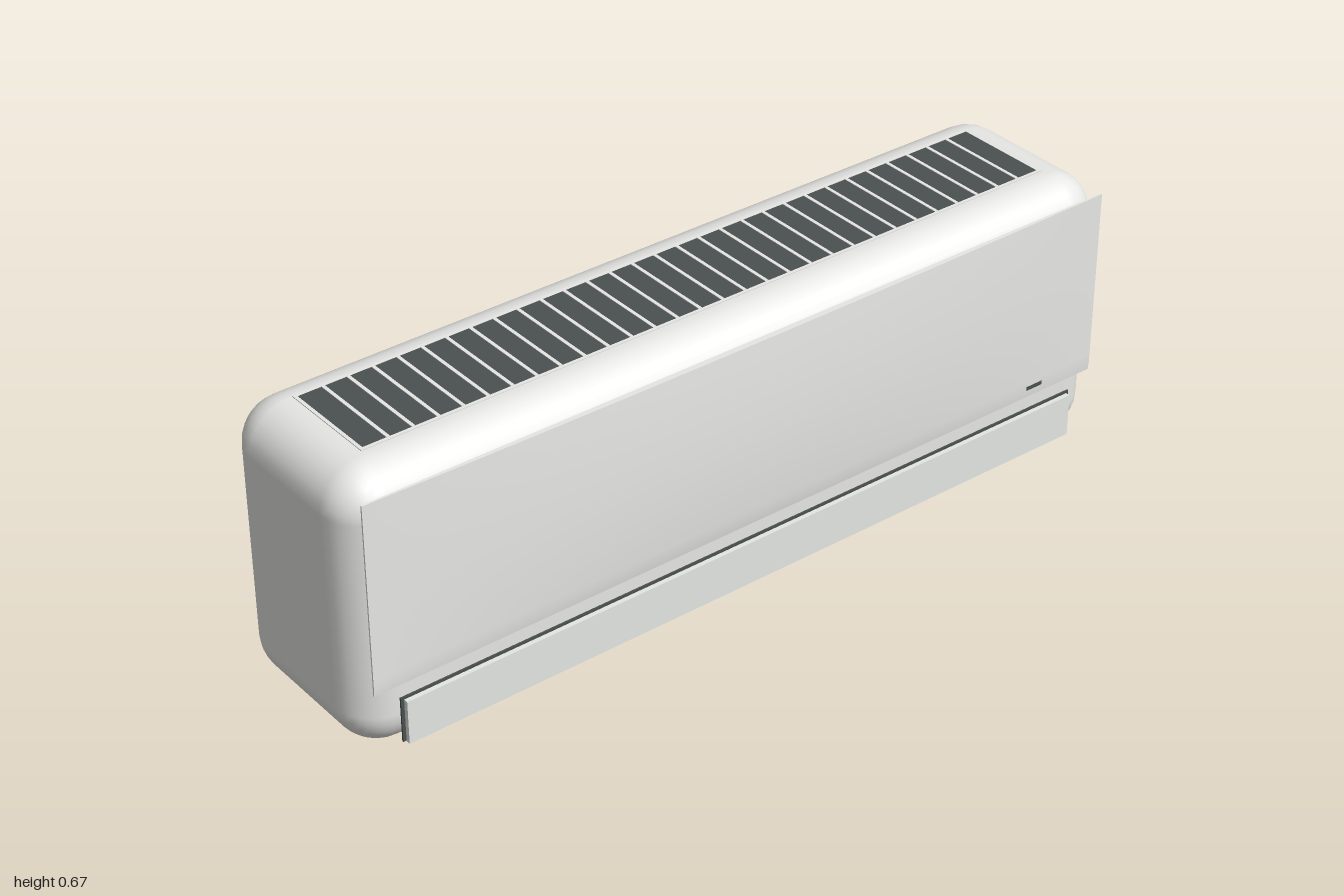
import * as THREE from 'three';
import { RoundedBoxGeometry } from 'three/addons/geometries/RoundedBoxGeometry.js';

const shell = new THREE.MeshStandardMaterial({ color: 0xe8e8e6 });
shell.name = 'shell white';
const trim = new THREE.MeshStandardMaterial({ color: 0xe4e8e3 });
trim.name = 'flap white';
const dark = new THREE.MeshStandardMaterial({ color: 0x4a5150 });
dark.name = 'dark grey';

function add(parent, name, geometry, material, x, y, z) {
  const mesh = new THREE.Mesh(geometry, material);
  mesh.name = name;
  mesh.position.set(x, y, z);
  parent.add(mesh);
  return mesh;
}

const box = (w, h, d) => new THREE.BoxGeometry(w, h, d);

// Front surface of the panel: gently domed, fullest above the middle
const PANEL = { halfWidth: 0.97, bottom: 0.175, top: 0.63, back: 0.218 };
function panelFront(x, y) {
  const across = 1 - (x / PANEL.halfWidth) ** 2;
  const rise = y < 0.45 ? (y - 0.45) / 0.275 : (y - 0.45) / 0.32;
  const lip = Math.min(1, (y - PANEL.bottom) / 0.02);
  return PANEL.back + 0.002 + 0.002 * lip + 0.0155 * across * (1 - rise * rise);
}

function panelGeometry() {
  const height = PANEL.top - PANEL.bottom;
  const middle = (PANEL.top + PANEL.bottom) / 2;
  const geometry = new THREE.BoxGeometry(PANEL.halfWidth * 2, height, 0.004, 28, 23, 1);
  geometry.translate(0, middle, 0);
  const p = geometry.attributes.position;
  for (let i = 0; i < p.count; i++) {
    p.setZ(i, p.getZ(i) > 0 ? panelFront(p.getX(i), p.getY(i)) : PANEL.back);
  }
  geometry.computeVertexNormals();
  return geometry;
}

export function createModel() {
  const model = new THREE.Group();
  model.name = 'wallAirConditioner';

  // Rounded housing
  add(model, 'housing', new RoundedBoxGeometry(2, 0.664, 0.453, 4, 0.1), shell, 0, 0.332, -0.0105);

  // Domed front panel with a small indicator
  add(model, 'frontPanel', panelGeometry(), shell, 0, 0, 0);
  add(model, 'indicator', box(0.045, 0.009, 0.002), dark, 0.798, 0.2, panelFront(0.79, 0.2) + 0.0005);

  // Air outlet and its flap
  add(model, 'outlet', box(1.82, 0.109, 0.004), dark, 0, 0.0885, 0.22);
  add(model, 'flap', box(1.806, 0.105, 0.011), trim, 0, 0.0855, 0.2285);

  // Intake grille on top, divided by slats
  const grille = new THREE.Group();
  grille.name = 'intakeGrille';
  model.add(grille);
  const slots = 30, width = 1.77, depth = 0.23, z = -0.015;
  add(grille, 'intake', box(width, 0.004, depth), dark, 0, 0.6635, z);
  for (let i = 1; i < slots; i++) {
    add(grille, 'slat', box(0.008, 0.005, depth), shell, -width / 2 + (i * width) / slots, 0.6645, z);
  }
  // Thin rim around the intake
  for (const s of [-1, 1]) {
    add(grille, 'rimEnd', box(0.008, 0.004, depth + 0.016), shell, s * (width / 2 + 0.004), 0.664, z);
    add(grille, 'rimSide', box(width, 0.004, 0.008), shell, 0, 0.664, z + s * (depth / 2 + 0.004));
  }
  return model;
}
